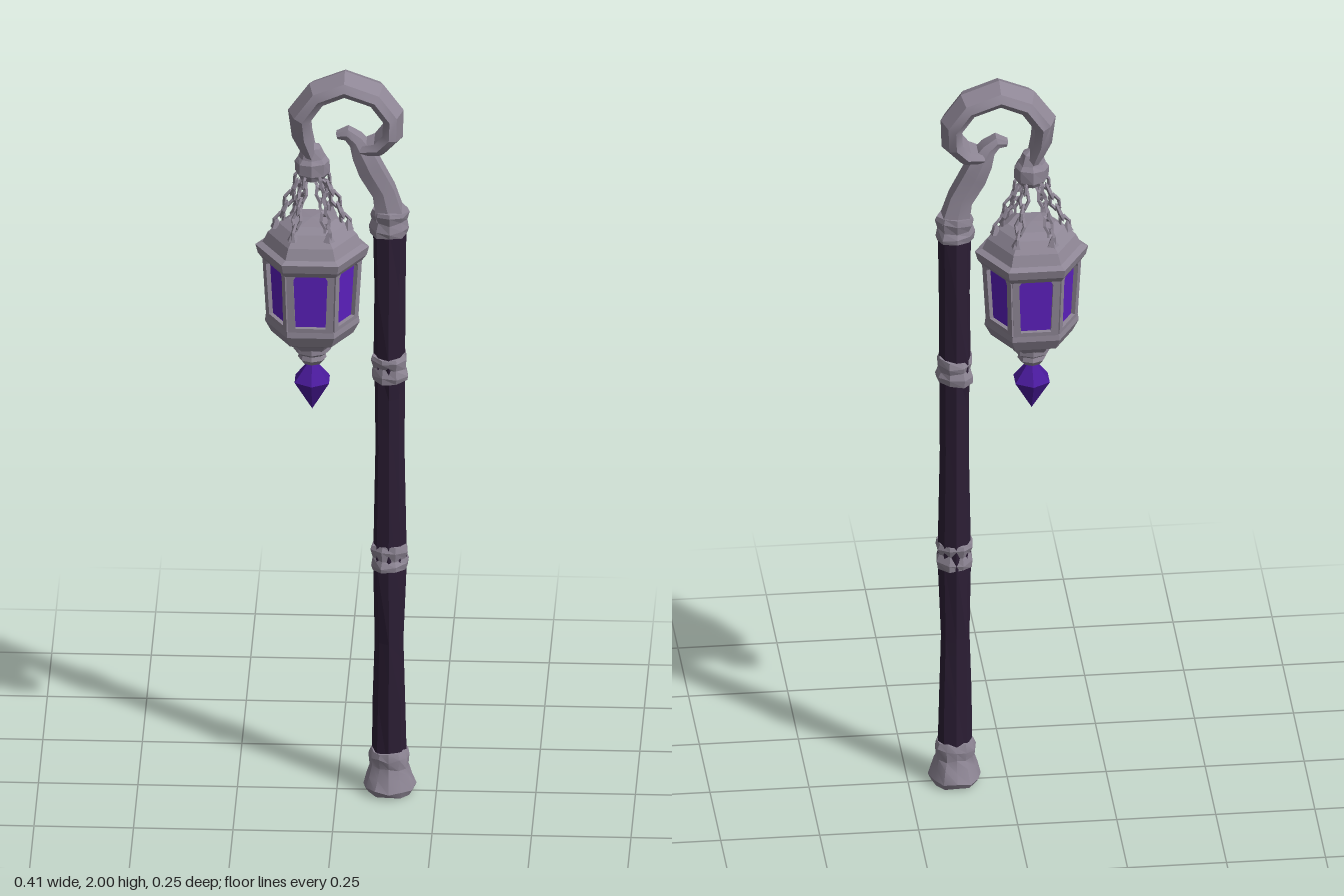
import * as THREE from 'three';
import { toCreasedNormals } from 'three/addons/utils/BufferGeometryUtils.js';

const mat = (name, color) => {
  const m = new THREE.MeshStandardMaterial({ color });
  m.name = name;
  return m;
};

// Flat facets by default; a larger crease angle keeps soft edges smooth
function mesh(name, geo, material, crease = 0.05) {
  const m = new THREE.Mesh(toCreasedNormals(geo, crease), material);
  m.name = name;
  return m;
}

const lathe = (pts, sides) =>
  new THREE.LatheGeometry(pts.map(p => new THREE.Vector2(p[0], p[1])), sides);

// Uneven hand-hewn look: nudge vertices by a rule based on angle and height
function roughen(geo, amount, lift = 0) {
  const p = geo.attributes.position;
  for (let i = 0; i < p.count; i++) {
    const x = p.getX(i), y = p.getY(i), z = p.getZ(i);
    const r = Math.hypot(x, z);
    if (r < 0.005) continue;
    const side = Math.round(Math.atan2(z, x) * 8 / Math.PI + 16) % 16;
    const k = 1 + amount * Math.sin(side * 5.3 + y * 41) / r;
    p.setXYZ(i, x * k, y + lift * Math.sin(side * 3.7 + y * 90), z * k);
  }
  return geo;
}

// Sweep a section of [normal, z] points along a path in the xy plane.
// Path rows: x, y, scale along the normal, scale along z
function sweep(path, section) {
  const n = section.length, pos = [], idx = [];
  path.forEach(([x, y, sn, sz], i) => {
    const a = path[Math.max(i - 1, 0)], b = path[Math.min(i + 1, path.length - 1)];
    const l = Math.hypot(b[0] - a[0], b[1] - a[1]);
    const nx = -(b[1] - a[1]) / l, ny = (b[0] - a[0]) / l;
    section.forEach(([u, w]) => pos.push(x + nx * u * sn, y + ny * u * sn, w * sz));
  });
  const last = (path.length - 1) * n;
  for (let j = 0; j < n; j++) {
    const k = (j + 1) % n;
    for (let i = 0; i < last; i += n) {
      idx.push(i + j, i + k, i + n + k, i + j, i + n + k, i + n + j);
    }
    if (j > 0 && j < n - 1) idx.push(0, j + 1, j, last, last + j, last + j + 1);
  }
  const g = new THREE.BufferGeometry();
  g.setAttribute('position', new THREE.Float32BufferAttribute(pos, 3));
  g.setIndex(idx);
  return g;
}

export function createModel() {
  const metal = mat('grey metal', 0x8e8695);
  const wood = mat('dark wood', 0x2c1e35);
  const glass = mat('violet glass', 0x5c20bd);
  const gem = mat('violet crystal', 0x4a1a9c);
  const root = new THREE.Group();
  root.name = 'lanternPost';

  // Post
  const post = new THREE.Group();
  post.name = 'post';
  post.position.x = 0.132;
  root.add(post);
  post.add(mesh('pole', roughen(lathe([
    [0, 0.06], [0.043, 0.06], [0.041, 0.25], [0.037, 0.42], [0.042, 0.64],
    [0.036, 0.95], [0.037, 1.1], [0.041, 1.2], [0.039, 1.4], [0.041, 1.58], [0, 1.58],
  ], 8), 0.002), wood));
  post.add(mesh('foot', roughen(lathe([
    [0, 0.004], [0.06, 0.004], [0.067, 0.018], [0.056, 0.05],
    [0.048, 0.075], [0.052, 0.1], [0.046, 0.118], [0.03, 0.118],
  ], 12), 0.002, 0.004), metal, 0.5));
  for (const y of [0.655, 1.183, 1.588]) {
    const collar = mesh('collar', roughen(lathe([
      [0.03, -0.034], [0.046, -0.034], [0.049, -0.018], [0.043, 0],
      [0.048, 0.02], [0.044, 0.034], [0, 0.034],
    ], 8), 0.003, 0.004), metal);
    collar.position.y = y;
    collar.rotation.y = y * 3;
    post.add(collar);
  }

  // Neck leaning from the post to a little curled tip
  const box = [[-0.03, -0.025], [0, -0.034], [0.03, -0.025], [0.03, 0.025], [0, 0.034], [-0.03, 0.025]];
  box.reverse();
  const ccw = box.map(([u, w]) => [u, w]).reverse();
  root.add(mesh('neck', sweep([
    [0.134, 1.6, 1.15, 1.15], [0.118, 1.67, 0.95, 0.9], [0.085, 1.73, 1, 0.95],
    [0.066, 1.775, 0.9, 1], [0.048, 1.81, 0.6, 0.8], [0.025, 1.828, 0.5, 0.6], [0, 1.822, 0.25, 0.4],
  ], ccw), metal, 0.4));

  // Large hook with a ridge along its outer side
  const band = [[-0.031, 0], [-0.014, -0.044], [0.006, -0.057], [0.025, -0.04],
    [0.025, 0.04], [0.006, 0.057], [-0.014, 0.044]];
  root.add(mesh('hook', sweep([
    [0.06, 1.785, 0.6, 0.6], [0.105, 1.794, 0.85, 0.85], [0.138, 1.83, 0.95, 1], [0.14, 1.885, 0.95, 1],
    [0.1, 1.94, 0.95, 1], [0.02, 1.969, 1, 1], [-0.05, 1.94, 1, 1], [-0.092, 1.88, 1.05, 1],
    [-0.086, 1.82, 0.9, 0.8], [-0.062, 1.752, 0.55, 0.5],
  ], band), metal, 0.5));

  // Lantern
  const lantern = new THREE.Group();
  lantern.name = 'lantern';
  lantern.position.x = -0.062;
  root.add(lantern);
  const hex = (name, pts, m = metal, crease) => {
    const part = mesh(name, lathe(pts, 6), m, crease);
    part.rotation.y = Math.PI / 6;
    lantern.add(part);
    return part;
  };
  hex('roof', [[0, 1.475], [0.126, 1.475], [0.137, 1.49], [0.143, 1.513], [0.125, 1.52],
    [0.112, 1.548], [0.085, 1.575], [0.06, 1.588], [0, 1.592]]);
  hex('bottomCup', [[0, 1.238], [0.052, 1.238], [0.066, 1.255], [0.103, 1.272],
    [0.119, 1.302], [0.117, 1.318], [0, 1.318]]);
  hex('glassPanes', [[0, 1.3], [0.104, 1.3], [0.113, 1.49], [0, 1.49]], glass);
  lantern.add(mesh('bottomNeck', lathe([[0, 1.19], [0.026, 1.19], [0.036, 1.203], [0.033, 1.215],
    [0.047, 1.225], [0.047, 1.243], [0.036, 1.25], [0, 1.25]], 8), metal));
  lantern.add(mesh('crystal', lathe([[0, 1.058], [0.05, 1.14], [0, 1.203]], 6), gem));

  // Six window frames, each a tapered plate with an opening
  const frame = new THREE.Shape([[-0.056, 0], [0.056, 0], [0.061, 0.18], [-0.061, 0.18]]
    .map(p => new THREE.Vector2(...p)));
  frame.holes.push(new THREE.Path([[-0.038, 0.02], [-0.043, 0.158], [-0.036, 0.17],
    [0.036, 0.17], [0.043, 0.158], [0.038, 0.02]].map(p => new THREE.Vector2(...p))));
  const frameGeo = new THREE.ExtrudeGeometry(frame, { depth: 0.014, bevelEnabled: false });
  frameGeo.translate(0, 0, -0.01);
  frameGeo.rotateX(0.05);
  frameGeo.translate(0, 1.308, 0.097);

  // Six chains from the cap to the roof
  const linkGeo = new THREE.TorusGeometry(0.012, 0.0048, 4, 6);
  linkGeo.scale(1, 1.7, 1);
  const top = new THREE.Vector3(0.028, 1.715, 0), bottom = new THREE.Vector3(0.088, 1.572, 0);
  const lean = Math.atan2(bottom.x - top.x, top.y - bottom.y);
  for (let i = 0; i < 6; i++) {
    const side = new THREE.Group();
    side.name = 'lanternSide';
    side.rotation.y = i * Math.PI / 3;
    lantern.add(side);
    side.add(mesh('windowFrame', frameGeo, metal));

    const chain = new THREE.Group();
    chain.name = 'chain';
    for (let k = 0; k < 5; k++) {
      const link = mesh('chainLink', linkGeo, metal);
      link.position.lerpVectors(top, bottom, (k + 0.3) / 4.6);
      link.rotation.set(0, k % 2 ? Math.PI / 2 : 0.2, lean, 'ZYX');
      chain.add(link);
    }
    const anchor = mesh('chainAnchor', new THREE.ConeGeometry(0.016, 0.03, 5), metal);
    anchor.position.set(0.09, 1.577, 0);
    chain.add(anchor);
    side.add(chain);
  }

  // Cap joining the chains to the hook
  lantern.add(mesh('chainCap', roughen(lathe([[0, 1.705], [0.034, 1.705], [0.043, 1.72],
    [0.043, 1.75], [0.034, 1.762], [0.024, 1.79], [0, 1.8]], 8), 0.0015, 0.002), metal));
  return root;
}
